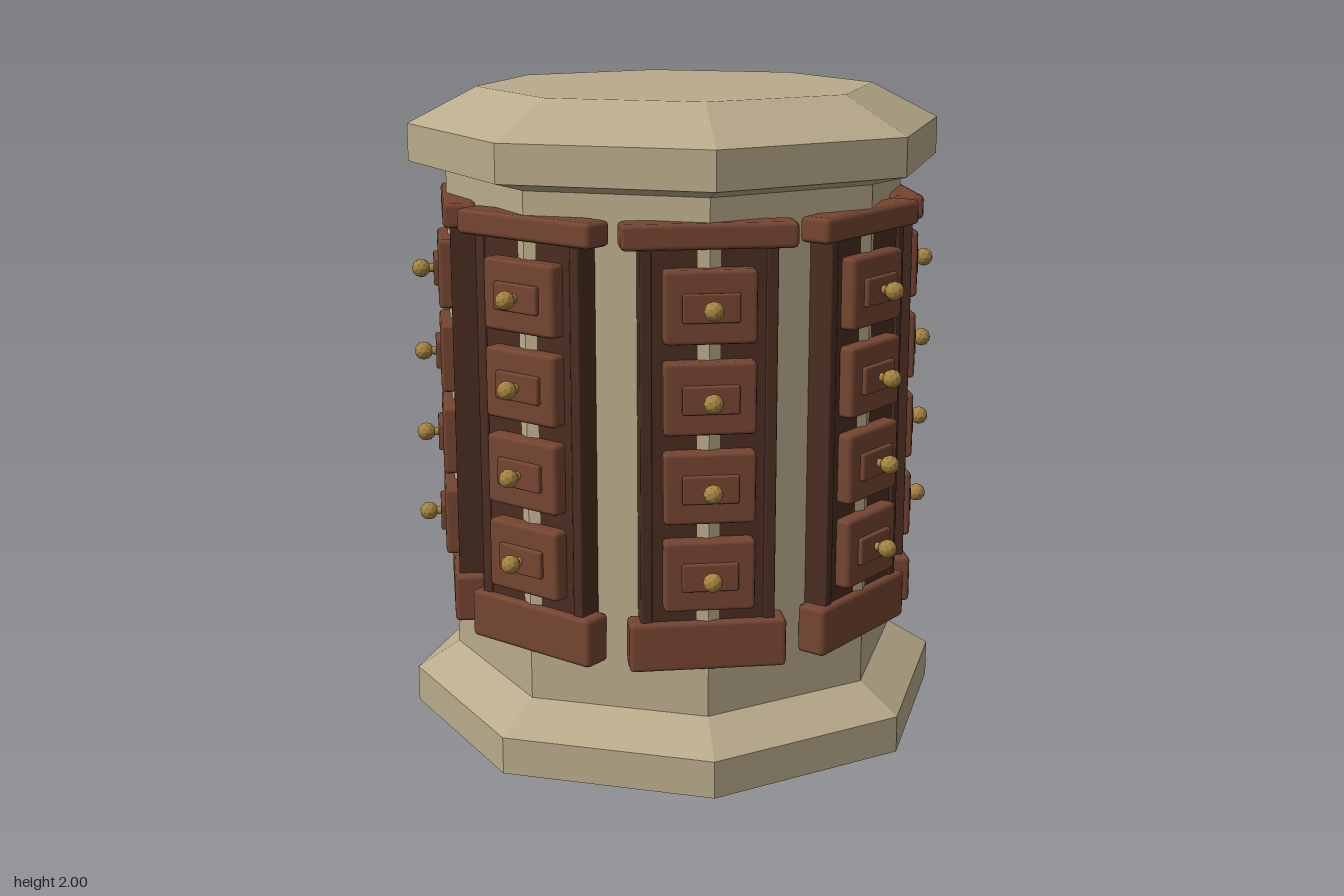
import * as THREE from 'three';
import { RoundedBoxGeometry } from 'three/addons/geometries/RoundedBoxGeometry.js';

const COS = Math.cos(Math.PI / 8);

// Facet a geometry so that every face is flat
function faceted(geometry) {
  const g = geometry.index ? geometry.toNonIndexed() : geometry;
  g.computeVertexNormals();
  return g;
}

export function createModel() {
  const material = (name, color) => new THREE.MeshStandardMaterial({ name, color });
  const stone = material('stone', 0xb9aa8b);
  const wood = material('wood', 0x754532);
  const darkWood = material('dark wood', 0x4a2e23);
  const brass = material('brass', 0xa5843f);

  const model = new THREE.Group();
  model.name = 'drawerPillar';

  const add = (parent, name, geometry, mat, x, y, z) => {
    const mesh = new THREE.Mesh(geometry, mat);
    mesh.name = name;
    mesh.position.set(x, y, z);
    parent.add(mesh);
    return mesh;
  };

  // Octagonal stone pillar: [distance to flat face, height]
  const ring = (profile) => faceted(new THREE.LatheGeometry(
    profile.map(([r, y]) => new THREE.Vector2(r / COS, y)), 8, Math.PI / 8));
  add(model, 'base', ring([[0, 0], [0.79, 0], [0.79, 0.115], [0.665, 0.2]]), stone, 0, 0, 0);
  add(model, 'shaft', ring([[0.665, 0.2], [0.665, 1.745]]), stone, 0, 0, 0);
  add(model, 'capital', ring([[0.665, 1.745], [0.77, 1.775], [0.77, 1.89], [0.573, 2], [0, 2]]), stone, 0, 0, 0);

  // Bevelled block from its width, vertical range and radial range
  const block = (w, y0, y1, z0, z1, bevel) => {
    const g = new RoundedBoxGeometry(w, y1 - y0, z1 - z0, 1, bevel);
    g.translate(0, (y0 + y1) / 2, (z0 + z1) / 2);
    return g;
  };
  const plinthGeo = block(0.465, 0.35, 0.5, 0.635, 0.73, 0.014);
  const corniceGeo = block(0.505, 1.6, 1.675, 0.635, 0.735, 0.014);
  const panelGeo = new THREE.BoxGeometry(0.37, 1.12, 0.064);
  const stileGeo = block(0.034, 0.49, 1.61, 0.635, 0.714, 0.005);
  const drawerGeo = block(0.268, -0.107, 0.107, 0.67, 0.752, 0.013);
  const plateGeo = block(0.165, -0.042, 0.042, 0.74, 0.766, 0.006);
  const stemGeo = new THREE.CylinderGeometry(0.011, 0.015, 0.04, 8).rotateX(Math.PI / 2);
  const knobGeo = faceted(new THREE.IcosahedronGeometry(0.029, 1));

  // One cabinet on each corner of the shaft
  for (let i = 0; i < 8; i++) {
    const cabinet = new THREE.Group();
    cabinet.name = 'cabinet';
    cabinet.rotation.y = Math.PI / 8 + i * Math.PI / 4;
    model.add(cabinet);

    add(cabinet, 'plinth', plinthGeo, wood, 0, 0, 0);
    add(cabinet, 'cornice', corniceGeo, wood, 0, 0, 0);
    add(cabinet, 'backPanel', panelGeo, darkWood, 0, 1.05, 0.674);
    for (const side of [-1, 1]) add(cabinet, 'stile', stileGeo, darkWood, side * 0.181, 0, 0);

    // Four drawers with raised plates and knobs
    for (let d = 0; d < 4; d++) {
      const drawer = new THREE.Group();
      drawer.name = 'drawer';
      drawer.position.y = 0.648 + d * 0.264;
      cabinet.add(drawer);
      add(drawer, 'drawerFront', drawerGeo, wood, 0, 0, 0);
      add(drawer, 'raisedPlate', plateGeo, wood, 0, 0, 0);
      add(drawer, 'knobStem', stemGeo, brass, 0, 0, 0.775);
      add(drawer, 'knob', knobGeo, brass, 0, 0, 0.804);
    }
  }
  return model;
}
